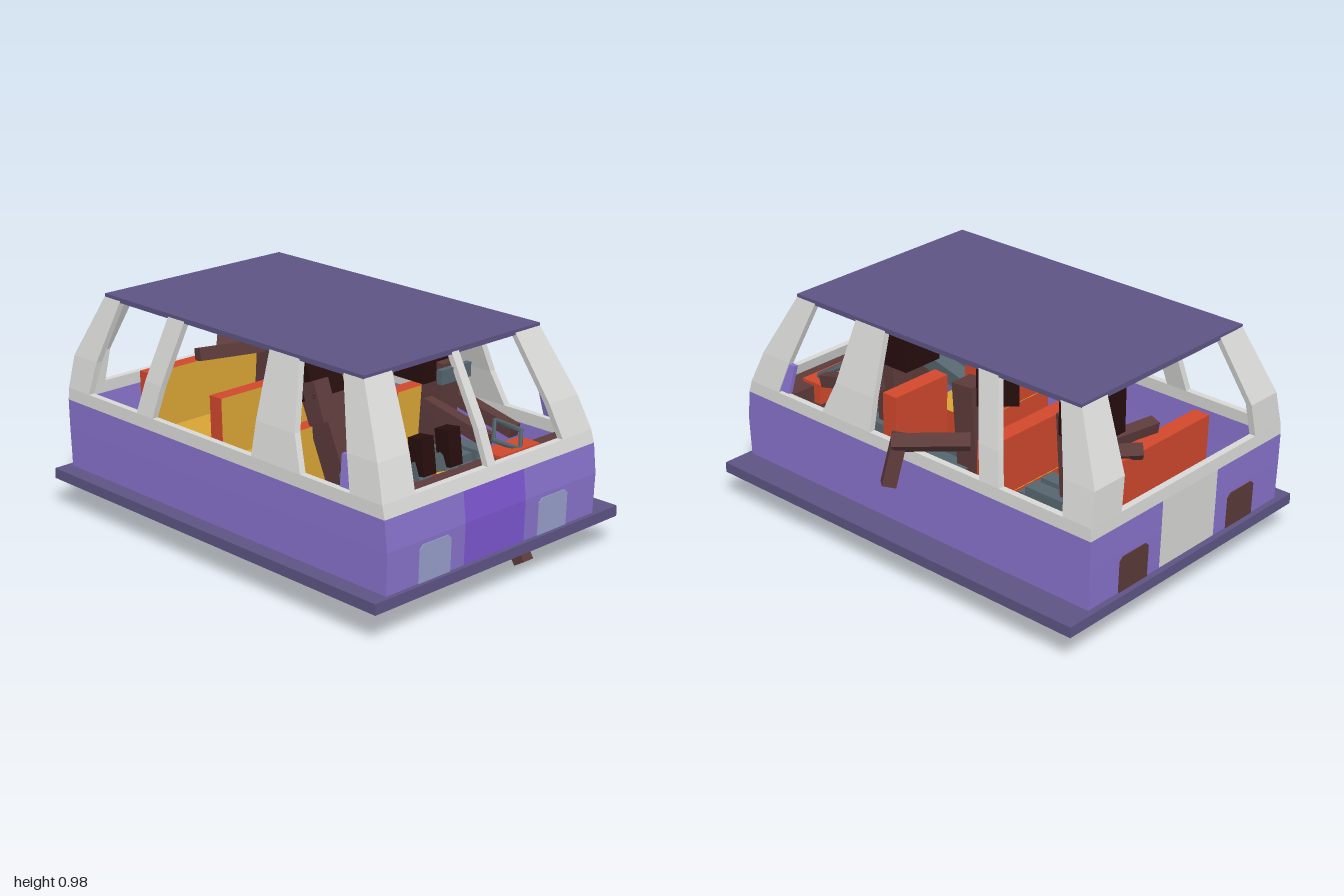
import * as THREE from 'three';
import { ConvexGeometry } from 'three/addons/geometries/ConvexGeometry.js';

const material = (name, color) => {
  const m = new THREE.MeshStandardMaterial({ color });
  m.name = name;
  return m;
};

export function createModel() {
  const M = {
    purple: material('body purple', 0x8872cc),
    violet: material('stripe violet', 0x7c56d0),
    lamp: material('lamp blue', 0x98a0cc),
    trim: material('trim grey', 0xd8d8d6),
    navy: material('roof and floor purple', 0x5d5484),
    yellow: material('cushion yellow', 0xd8a434),
    orange: material('seat orange', 0xd0482c),
    dark: material('hair and shoes', 0x260d0d),
    brown: material('skin brown', 0x5c3a3a),
    steel: material('steel grey', 0x56666e),
  };
  const van = new THREE.Group();
  van.name = 'van';

  const add = (name, geometry, mat, parent = van) => {
    const mesh = new THREE.Mesh(geometry, mat);
    mesh.name = name;
    parent.add(mesh);
    return mesh;
  };
  // Box given by its limits
  const box = (name, mat, x0, x1, y0, y1, z0, z1, parent = van) => {
    const b = add(name, new THREE.BoxGeometry(x1 - x0, y1 - y0, z1 - z0), mat, parent);
    b.position.set((x0 + x1) / 2, (y0 + y1) / 2, (z0 + z1) / 2);
    return b;
  };
  // Square bar between two points
  const limb = (name, mat, from, to, w, parent = van) => {
    const a = new THREE.Vector3(...from), b = new THREE.Vector3(...to);
    const d = b.clone().sub(a);
    const bar = add(name, new THREE.BoxGeometry(w, d.length(), w), mat, parent);
    bar.position.copy(a).add(b).multiplyScalar(0.5);
    bar.quaternion.setFromUnitVectors(new THREE.Vector3(0, 1, 0), d.normalize());
    return bar;
  };
  // Rectangular ring lying flat, open in the middle
  const frame = (name, mat, x0, x1, z0, z1, y0, y1, hole, parent = van) => {
    const rect = (P, a, b, c, d) => {
      const p = new P();
      p.moveTo(a, -d); p.lineTo(b, -d); p.lineTo(b, -c); p.lineTo(a, -c); p.closePath();
      return p;
    };
    const s = rect(THREE.Shape, x0, x1, z0, z1);
    s.holes.push(rect(THREE.Path, ...hole));
    const g = new THREE.ExtrudeGeometry(s, { depth: y1 - y0, bevelEnabled: false });
    g.rotateX(-Math.PI / 2).translate(0, y0, 0);
    return add(name, g, mat, parent);
  };

  // Body shell: height, rear x, front x, half width
  const MID = 0.03;
  const levels = [
    [0.125, -0.97, 0.978, 0.612], [0.36, -0.977, 0.985, 0.615], [0.49, -0.98, 0.97, 0.615],
    [0.545, -0.977, 0.955, 0.612], [0.69, -0.967, 0.898, 0.583], [0.975, -0.83, 0.745, 0.505],
  ];
  const shell = (y) => {
    let i = 0;
    while (i < levels.length - 2 && y > levels[i + 1][0]) i++;
    const a = levels[i], b = levels[i + 1], t = (y - a[0]) / (b[0] - a[0]);
    return [1, 2, 3].map((k) => a[k] + (b[k] - a[k]) * t);
  };
  // Panel following one wall; rows are [height, start, end], null runs to the corner
  const panel = (name, mat, side, rows, out = 0, depth = 0.03) => {
    const ring = ([y, a, b]) => {
      const [x0, x1, h] = shell(y);
      const pts = [];
      for (const o of [out, out - depth]) {
        if (side === 'left' || side === 'right') {
          const z = side === 'left' ? MID + h + o : MID - h - o;
          pts.push(new THREE.Vector3(a ?? x0, y, z), new THREE.Vector3(b ?? x1, y, z));
        } else {
          const x = side === 'nose' ? x1 + o : x0 - o;
          pts.push(new THREE.Vector3(x, y, a ?? MID - h), new THREE.Vector3(x, y, b ?? MID + h));
        }
      }
      return pts;
    };
    const group = new THREE.Group();
    group.name = name;
    for (let i = 0; i + 1 < rows.length; i++) {
      add(name, new ConvexGeometry([...ring(rows[i]), ...ring(rows[i + 1])]), mat, group);
    }
    van.add(group);
  };
  const wall = (a, b) => [[0.125, a, b], [0.36, a, b], [0.49, a, b]];

  // Long sides: lower wall, sill and four pillars
  for (const side of ['left', 'right']) {
    panel('sideWall', M.purple, side, wall(null, null));
    panel('sideSill', M.trim, side, [[0.49, null, null], [0.545, null, null]]);
    panel('rearPillar', M.trim, side, [[0.545, null, -0.835], [0.69, null, -0.81], [0.975, null, -0.725]]);
    panel('middlePillar', M.trim, side, [[0.545, -0.505, -0.4], [0.69, -0.475, -0.37], [0.975, -0.405, -0.3]]);
    panel('doorPillar', M.trim, side, [[0.545, 0.22, 0.505], [0.69, 0.22, 0.445], [0.975, 0.22, 0.39]]);
    panel('frontPillar', M.trim, side, [[0.545, 0.78, null], [0.69, 0.735, null], [0.975, 0.635, null]]);
    panel('cornerPlate', M.purple, side, [[0.555, 0.72, 0.775], [0.68, 0.705, 0.765]], -0.005, 0.02);
  }

  // Ends: painted wall, sill, corner pillars and lamps
  for (const end of ['nose', 'tail']) {
    const nose = end === 'nose';
    panel('endWall', M.purple, end, wall(null, -0.145));
    panel('endStripe', nose ? M.violet : M.trim, end, wall(-0.145, 0.21));
    panel('endWall', M.purple, end, wall(0.21, null));
    panel('endSill', M.trim, end, [[0.49, null, null], [0.545, null, null]]);
    panel('endPillar', M.trim, end, [[0.545, null, -0.4], [0.69, null, -0.375], [0.975, null, -0.325]]);
    panel('endPillar', M.trim, end, [[0.545, 0.465, null], [0.69, 0.44, null], [0.975, 0.385, null]]);
    for (const z of [-0.315, 0.38]) {
      panel('lamp', nose ? M.lamp : M.brown, end,
        [[0.127, z - 0.088, z + 0.088], [0.325, z - 0.088, z + 0.088], [0.342, z - 0.07, z + 0.07]], 0.004, 0.007);
    }
  }
  panel('windscreenPost', M.trim, 'nose', [[0.545, 0.01, 0.055], [0.69, 0.01, 0.055], [0.975, 0.012, 0.052]]);

  // Roof, floor and running board
  box('roof', M.navy, -0.832, 0.748, 0.96, 0.982, -0.477, 0.537);
  box('floor', M.navy, -0.96, 0.965, 0.168, 0.18, -0.575, 0.635);
  frame('runningBoard', M.navy, -1, 1, -0.72, 0.72, 0.135, 0.182, [-0.955, 0.96, -0.57, 0.63]);

  // Seats: open skirt below, yellow cushion and front of backrest
  const Y = M.yellow, O = M.orange;
  const seat = (name, x0, x1, z0, z1, top) => {
    const g = new THREE.Group();
    g.name = name;
    van.add(g);
    frame('seatSkirt', O, x0, x1, z0, z1, 0.127, 0.18, [x0 + 0.02, x1 - 0.02, z0 + 0.02, z1 - 0.02], g);
    box('cushion', [Y, O, Y, O, O, O], x0, x1, 0.18, 0.35, z0, z1, g);
    const back = box('backrest', [Y, O, O, O, O, O], x0, x0 + 0.075, 0.34, top, z0, z1, g);
    back.rotation.z = 0.03;
  };
  seat('rearBench', -0.79, -0.49, -0.43, 0.39, 0.61);
  seat('middleBench', -0.32, -0.02, -0.43, 0.39, 0.61);
  seat('passengerSeat', 0.22, 0.53, 0.07, 0.54, 0.62);
  seat('driverSeat', 0.22, 0.53, -0.43, -0.12, 0.65);

  // Dashboard, steering wheel and mirror
  box('dashboard', M.brown, 0.79, 0.93, 0.3, 0.5, -0.55, 0.61);
  box('instrumentBox', M.orange, 0.75, 0.86, 0.42, 0.515, -0.37, -0.13);
  const wheel = add('steeringWheel', new THREE.TorusGeometry(0.085, 0.014, 4, 4), M.steel);
  wheel.position.set(0.77, 0.55, -0.27);
  wheel.rotation.set(0, Math.PI / 2, 0);
  wheel.rotateX(-1.0);
  box('rearViewMirror', M.steel, 0.735, 0.76, 0.85, 0.91, -0.05, 0.12);

  // Upright figures: head, torso, thighs and shins reaching the floor
  const figure = (name, x, z, head, turn) => {
    const g = new THREE.Group();
    g.name = name;
    van.add(g);
    const h = add('head', new THREE.BoxGeometry(0.175, 0.222, 0.2), M.dark, g);
    h.position.set(head, 0.828, -0.23);
    h.rotation.y = turn;
    limb('torso', M.brown, [x, 0.38, z], [x + 0.03, 0.8, z], 0.11, g);
    for (const s of [-0.05, 0.05]) {
      limb('thigh', M.steel, [x, 0.4, z + s], [x + 0.22, 0.4, z + s], 0.07, g);
      const f = x + 0.22, c = z + s;
      box('shin', M.steel, f - 0.035, f + 0.035, 0.17, 0.4, c - 0.035, c + 0.035, g);
      frame('shinEnd', M.steel, f - 0.035, f + 0.035, c - 0.035, c + 0.035, 0.13, 0.17,
        [f - 0.023, f + 0.023, c - 0.023, c + 0.023], g);
    }
    return g;
  };
  const rear = figure('rearPassenger', -0.65, -0.26, -0.68, 0);
  limb('arm', M.brown, [-0.65, 0.63, -0.2], [-0.72, 0.64, 0.12], 0.055, rear);
  limb('arm', M.brown, [-0.6, 0.62, -0.3], [-0.82, 0.63, -0.08], 0.055, rear);
  const middle = figure('middlePassenger', -0.15, -0.33, -0.177, 0.75);
  limb('upperArm', M.brown, [-0.22, 0.6, -0.44], [0.01, 0.6, -0.66], 0.06, middle);
  limb('forearm', M.brown, [0.0, 0.625, -0.62], [0.02, 0.41, -0.675], 0.06, middle);
  const driver = figure('driver', 0.38, -0.26, 0.34, 0);
  for (const s of [-0.08, 0.08]) {
    limb('arm', M.brown, [0.4, 0.62, -0.26 + s], [0.74, 0.54, -0.27 + s], 0.055, driver);
  }
  limb('drivingLeg', M.brown, [0.77, 0.2, -0.27], [0.88, 0.02, -0.27], 0.06, driver);

  // Reclining passenger with feet on the dashboard
  const lounger = new THREE.Group();
  lounger.name = 'frontPassenger';
  van.add(lounger);
  const head = add('head', new THREE.BoxGeometry(0.16, 0.19, 0.17), M.dark, lounger);
  head.position.set(0.24, 0.82, 0.325);
  head.rotation.z = 0.4;
  limb('torso', M.brown, [0.42, 0.4, 0.3], [0.29, 0.75, 0.32], 0.12, lounger);
  limb('arm', M.brown, [0.3, 0.82, 0.37], [0.36, 0.66, 0.37], 0.08, lounger);
  limb('arm', M.brown, [0.33, 0.64, 0.25], [0.17, 0.55, 0.2], 0.055, lounger);
  for (const [z0, z1] of [[0.33, 0.32], [0.23, 0.17]]) {
    limb('leg', M.steel, [0.45, 0.42, z0], [0.86, 0.58, z1], 0.075, lounger);
    limb('shoe', M.dark, [0.86, 0.56, z1], [0.84, 0.71, z1], 0.07, lounger);
  }

  return van;
}
